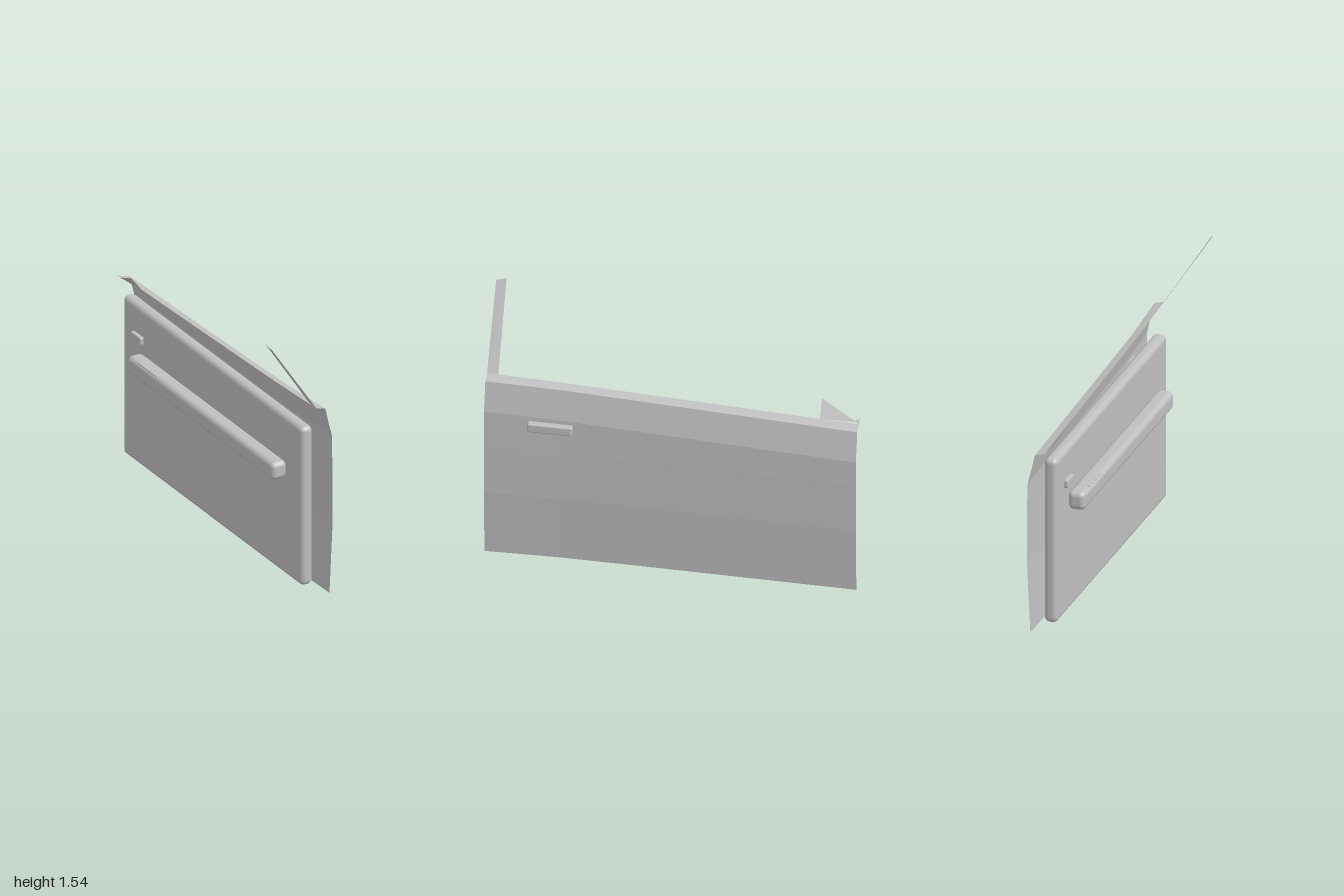
import * as THREE from 'three';
import { RoundedBoxGeometry } from 'three/addons/geometries/RoundedBoxGeometry.js';

const grey = new THREE.MeshStandardMaterial({ color: 0xbfbfbf, side: THREE.DoubleSide });
grey.name = 'door grey';

// Flat-faced sheet through rows of points (each row has the same length)
function sheet(rows) {
  const pos = [];
  for (let i = 0; i < rows.length - 1; i++) {
    for (let j = 0; j < rows[i].length - 1; j++) {
      const a = rows[i][j], b = rows[i + 1][j], c = rows[i + 1][j + 1], d = rows[i][j + 1];
      pos.push(...a, ...b, ...c, ...a, ...c, ...d);
    }
  }
  const geo = new THREE.BufferGeometry();
  geo.setAttribute('position', new THREE.Float32BufferAttribute(pos, 3));
  geo.computeVertexNormals();
  return geo;
}

function triangle(...points) {
  const geo = new THREE.BufferGeometry().setFromPoints(points.map(p => new THREE.Vector3(...p)));
  geo.computeVertexNormals();
  return geo;
}

// Rounded box given by its x, y and z ranges
function roundedBlock([x0, x1], [y0, y1], [z0, z1], radius) {
  return new RoundedBoxGeometry(x1 - x0, y1 - y0, z1 - z0, 4, radius)
    .translate((x0 + x1) / 2, (y0 + y1) / 2, (z0 + z1) / 2);
}

export function createModel() {
  const door = new THREE.Group();
  door.name = 'carDoor';
  const add = (name, geo) => {
    const mesh = new THREE.Mesh(geo, grey);
    mesh.name = name;
    door.add(mesh);
  };

  // Outer skin: one folded section, swept along z with a slight bow;
  // the waistline drops steadily towards -z
  const stations = [[1, 0], [0.6, -0.013], [0, -0.011], [-1, -0.004]];
  add('outerSkin', sheet(stations.map(([z, dx]) => {
    const drop = (1 - z) * 0.04;
    return [
      [0.16 + dx, 0, z],
      [0.179 + dx, 0.4, z],
      [0.179 + dx, 0.7, z],
      [0.175 + dx, 0.93 - drop, z],
      [0.134 + dx, 1.1 - drop, z],
      [0.08 + dx * 0.5, 1.115 - drop, z],
    ];
  })));

  // Window post leaning inwards
  add('windowPost', sheet([
    [[0.08, 1.115, 1], [0.08, 1.112, 0.94]],
    [[-0.193, 1.53, 1], [-0.2, 1.543, 0.945]],
  ]));

  // Corner triangle of the window and the small tab behind it
  add('windowCorner', triangle([0.012, 1.13, -0.79], [0.078, 1.042, -0.79], [0.062, 1.035, -0.985]));
  add('cornerTab', triangle([0.042, 1.048, -1], [0.078, 1.035, -1], [0.06, 1.036, -0.97]));

  // Inner trim, armrest and handles
  add('trimPanel', roundedBlock([0.035, 0.11], [0.03, 0.97], [-0.92, 0.92], 0.03));
  add('armrest', roundedBlock([-0.055, 0.04], [0.612, 0.716], [-0.73, 0.77], 0.03));
  add('switchPlate', roundedBlock([-0.048, 0], [0.71, 0.718], [-0.62, -0.43], 0.003));
  add('innerHandle', roundedBlock([0.013, 0.042], [0.765, 0.81], [-0.8, -0.7], 0.008));
  add('outerHandle', roundedBlock([0.162, 0.2], [0.84, 0.895], [0.523, 0.765], 0.01));

  return door;
}
